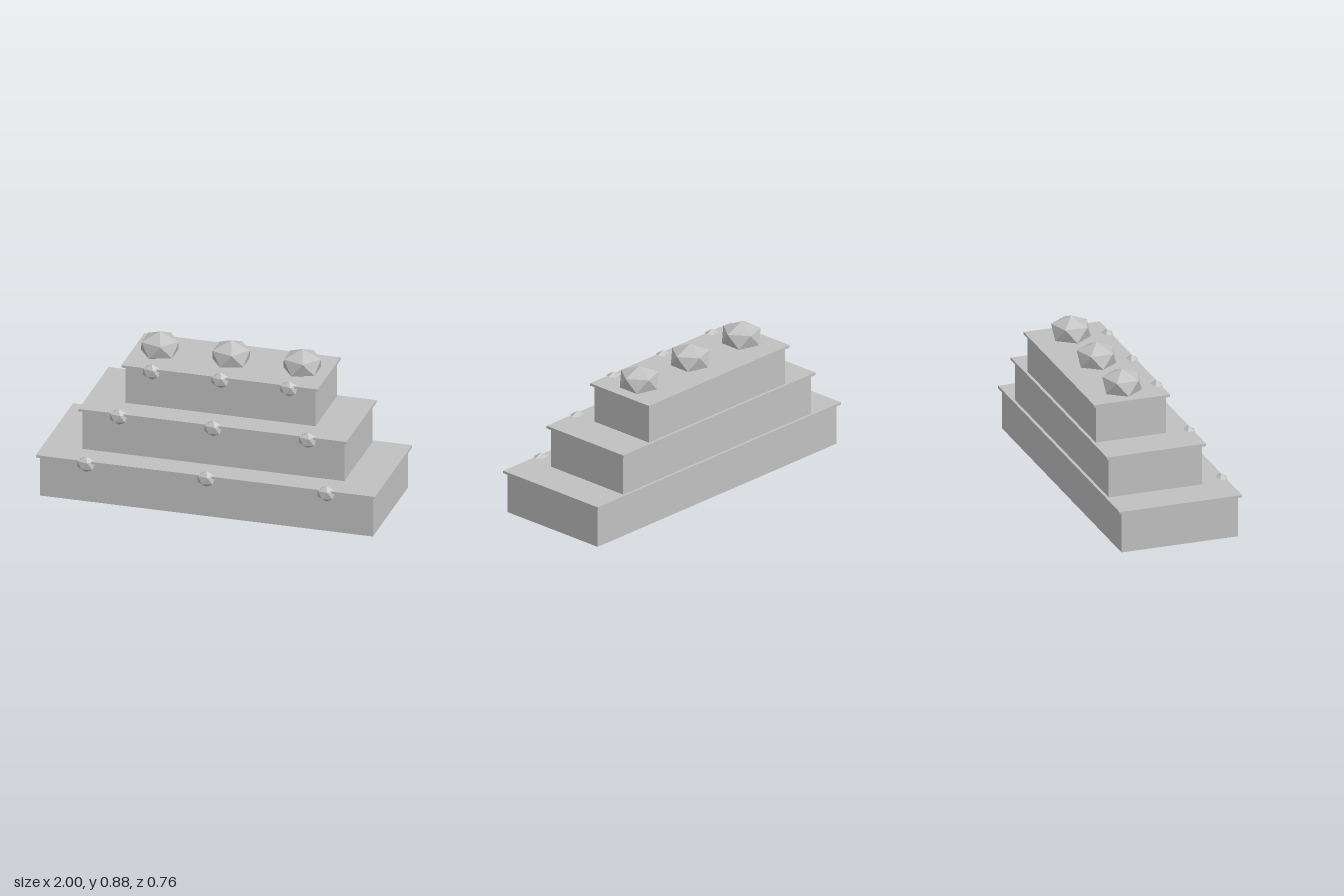
import * as THREE from 'three';

export function createModel() {
  const model = new THREE.Group();
  const stone = new THREE.MeshStandardMaterial({ color: 0xc0c0c0 });
  stone.name = 'stone grey';
  stone.flatShading = true;

  function add(name, geometry, x, y, z) {
    const mesh = new THREE.Mesh(geometry, stone);
    mesh.name = name;
    mesh.position.set(x, y, z);
    model.add(mesh);
  }

  // Box from its half width, height range and depth range
  function block(name, halfX, y0, y1, z0, z1) {
    add(name, new THREE.BoxGeometry(halfX * 2, y1 - y0, z1 - z0), 0, (y0 + y1) / 2, (z0 + z1) / 2);
  }

  // Twenty-sided ball standing on a corner, squashed to the given radii
  function gem(rx, ry, rz) {
    return new THREE.IcosahedronGeometry(1, 0)
      .rotateZ(-Math.atan(2 / (1 + Math.sqrt(5))))
      .scale(rx, ry, rz);
  }

  // Three stepped tiers, each with a thin overhanging ledge
  const tiers = [
    { half: 0.982, y0: 0, y1: 0.242, top: 0.256, front: 0.342, gemX: 0.708 },
    { half: 0.772, y0: 0.256, y1: 0.494, top: 0.509, front: 0.202, gemX: 0.557 },
    { half: 0.561, y0: 0.509, y1: 0.733, top: 0.747, front: 0.063, gemX: 0.405 },
  ];
  const smallGem = gem(0.06, 0.048, 0.043);
  for (const t of tiers) {
    block('tierBody', t.half, t.y0, t.y1, -0.359, t.front);
    block('tierLedge', t.half + 0.018, t.y1, t.top, -0.377, t.front + 0.018);
    // Small ornaments along the front edge
    for (const side of [-1, 0, 1]) {
      add('edgeOrnament', smallGem, side * t.gemX, t.y1 - 0.011, t.front);
    }
  }

  // Large ornaments on the top tier
  const largeGem = gem(0.124, 0.088, 0.126);
  for (const side of [-1, 0, 1]) add('topOrnament', largeGem, side * 0.42, 0.789, -0.15);

  return model;
}
